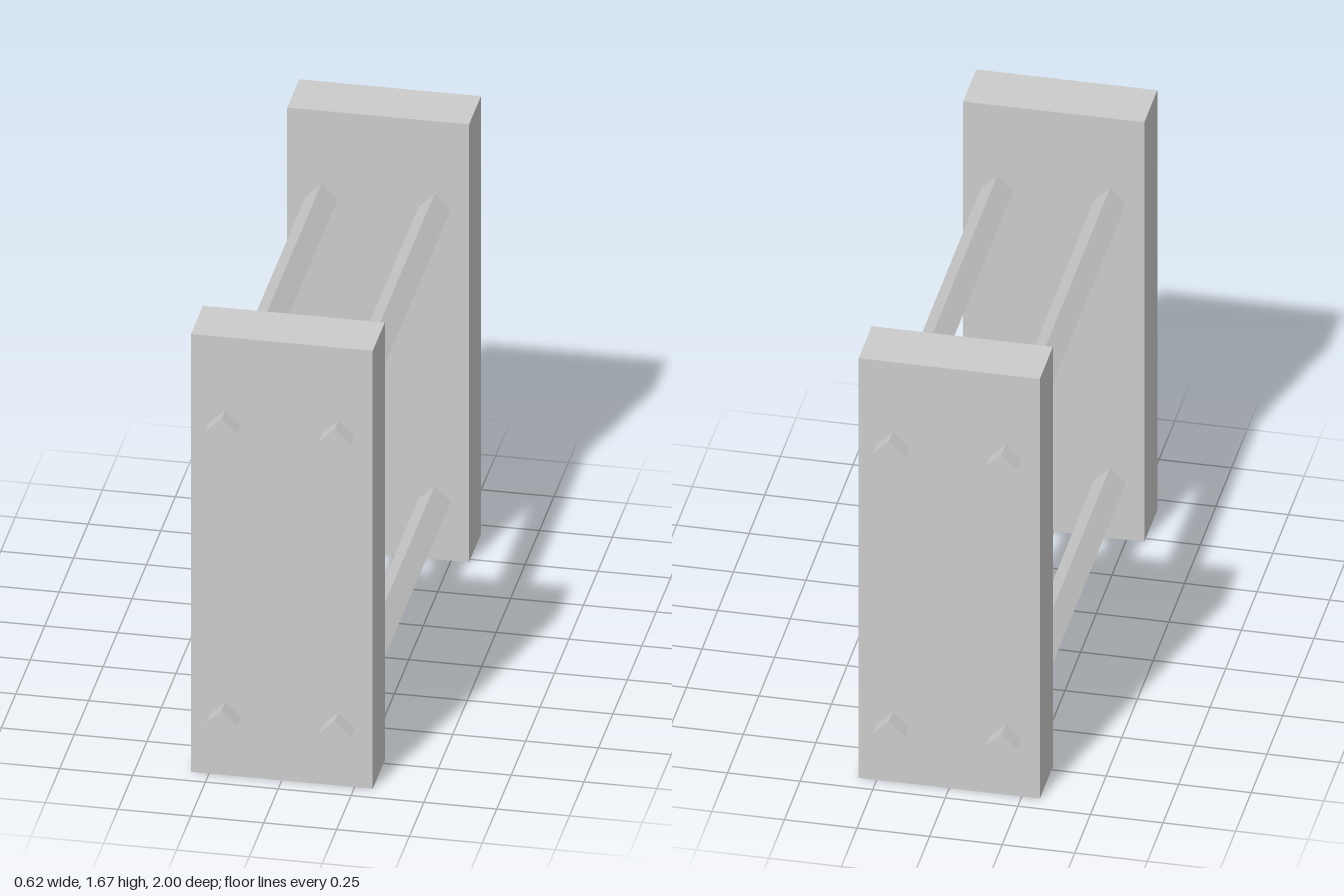
import * as THREE from 'three';

export function createModel() {
  const group = new THREE.Group();
  const grey = new THREE.MeshStandardMaterial({ color: 0xcccccc, flatShading: true });
  grey.name = 'light grey';

  const height = 1.667;
  const panelGeo = new THREE.BoxGeometry(0.624, height, 0.208);
  // Square rod standing on its edge, running front to back
  const rodGeo = new THREE.CylinderGeometry(0.055, 0.055, 2, 4).rotateX(Math.PI / 2);

  function add(name, geometry, x, y, z) {
    const mesh = new THREE.Mesh(geometry, grey);
    mesh.name = name;
    mesh.position.set(x, y, z);
    group.add(mesh);
  }

  // Two upright end panels
  add('frontPanel', panelGeo, 0, height / 2, 0.833);
  add('backPanel', panelGeo, 0, height / 2, -0.833);

  // Four rods passing through both panels
  for (const [side, x] of [['left', 0.194], ['right', -0.194]]) {
    add(side + 'UpperRod', rodGeo, x, 1.335, 0);
    add(side + 'LowerRod', rodGeo, x, 0.224, 0);
  }
  return group;
}
